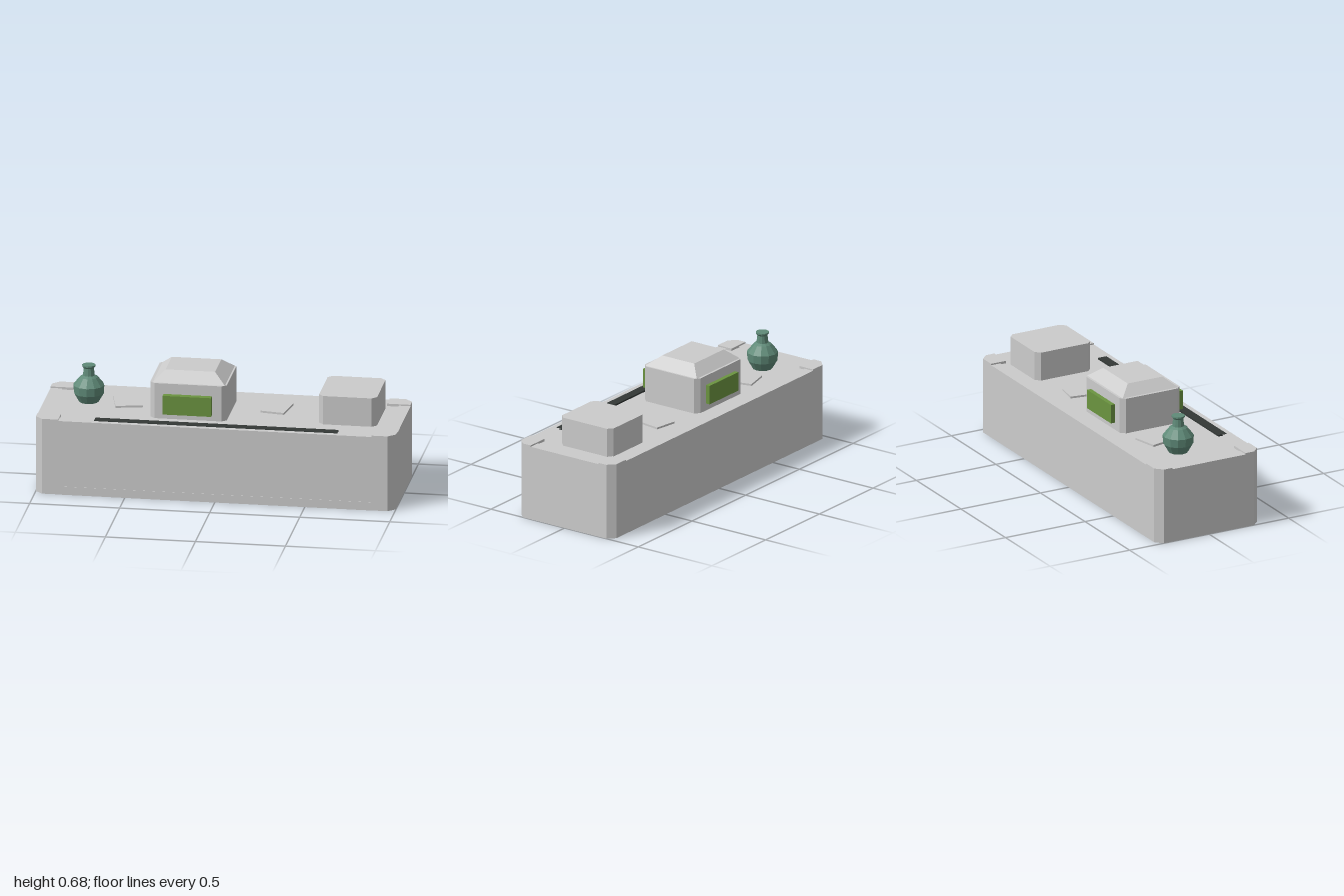
import * as THREE from 'three';

const paint = (color) => new THREE.MeshStandardMaterial({ color, flatShading: true });
const grey = paint(0xcccccc);
const green = paint(0x6b9440);
const dark = paint(0x333836);
const teal = paint(0x5f8a78);

// Outline of a rectangle in x/z with cut corners
function chamferedRect(x0, x1, z0, z1, c) {
  return [[x0 + c, z0], [x1 - c, z0], [x1, z0 + c], [x1, z1 - c],
    [x1 - c, z1], [x0 + c, z1], [x0, z1 - c], [x0, z0 + c]];
}

// Upright prism over an x/z outline, from y0 to y1
function prism(outline, y0, y1, hole) {
  const toPoints = (list) => list.map(([x, z]) => new THREE.Vector2(x, -z));
  const shape = new THREE.Shape(toPoints(outline));
  if (hole) shape.holes.push(new THREE.Path(toPoints(hole)));
  return new THREE.ExtrudeGeometry(shape, { depth: y1 - y0, bevelEnabled: false })
    .rotateX(-Math.PI / 2).translate(0, y0, 0);
}

// Box given by its limits on each axis
function box(x0, x1, y0, y1, z0, z1) {
  return new THREE.BoxGeometry(x1 - x0, y1 - y0, z1 - z0)
    .translate((x0 + x1) / 2, (y0 + y1) / 2, (z0 + z1) / 2);
}

export function createModel() {
  const model = new THREE.Group();
  model.name = 'shopCounter';
  const add = (name, geometry, material = grey) => {
    const mesh = new THREE.Mesh(geometry, material);
    mesh.name = name;
    model.add(mesh);
    return mesh;
  };

  // Counter: solid body with a low rim around a shallow recess
  const FLOOR = 0.419, RIM = 0.425;
  const W = 1, D = 0.323;
  const plan = chamferedRect(-W, W, -D, D, 0.04);
  const recess = [[-0.935, -0.265], [0.935, -0.265], [0.935, 0.265], [-0.935, 0.265]];
  add('counterBody', prism(plan, 0, FLOOR));
  add('counterRim', prism(plan, FLOOR, RIM, recess));

  // Raised corner plates
  for (const sx of [-1, 1]) {
    for (const sz of [-1, 1]) {
      const corner = [[0.87, 0.23], [W, 0.23], [W, D - 0.04], [W - 0.04, D], [0.87, D]]
        .map(([x, z]) => [x * sx, z * sz]);
      add('cornerPlate', prism(corner, FLOOR, 0.433));
    }
  }

  // Kick strip along the front and dark inlay on the top
  add('kickStrip', box(-0.87, 0.87, 0, 0.047, 0.315, 0.325));
  add('darkInlay', box(-0.675, 0.675, 0.417, 0.428, 0.24, 0.292), dark);

  // Register with a sloping lid and a display panel on each side
  add('registerBody', prism(chamferedRect(-0.385, 0.04, -0.203, 0.173, 0.026), FLOOR, 0.622));
  const lid = box(-0.37, 0.03, 0.622, 0.677, -0.19, 0.16);
  const p = lid.attributes.position;
  for (let i = 0; i < p.count; i++) {
    if (p.getY(i) > 0.65) {
      p.setX(i, p.getX(i) < -0.17 ? -0.31 : -0.035);
      p.setZ(i, p.getZ(i) < 0 ? -0.125 : 0.092);
    }
  }
  lid.computeVertexNormals();
  add('registerLid', lid);
  add('frontDisplay', box(-0.305, -0.037, 0.46, 0.568, 0.19, 0.225), green);
  add('backDisplay', box(-0.305, -0.037, 0.46, 0.568, -0.228, -0.193), green);

  // Storage box
  add('storageBox', prism(chamferedRect(0.545, 0.867, -0.217, 0.133, 0.027), FLOOR, 0.583));

  // Loose cards lying on the counter
  for (const [x, z, w, d, turn] of [[-0.545, -0.073, 0.15, 0.185, 0.23], [0.28, -0.087, 0.134, 0.172, -0.16]]) {
    const card = add('card', new THREE.BoxGeometry(w, 0.012, d));
    card.position.set(x, FLOOR + 0.005, z);
    card.rotation.y = turn;
  }

  // Faceted vase
  const profile = [[0, 0.419], [0.055, 0.419], [0.083, 0.468], [0.086, 0.515], [0.05, 0.56],
    [0.033, 0.57], [0.028, 0.612], [0.037, 0.622], [0.037, 0.63], [0, 0.63]]
    .map(([r, y]) => new THREE.Vector2(r, y));
  const vase = add('vase', new THREE.LatheGeometry(profile, 12), teal);
  vase.position.set(-0.76, 0, -0.06);

  return model;
}
